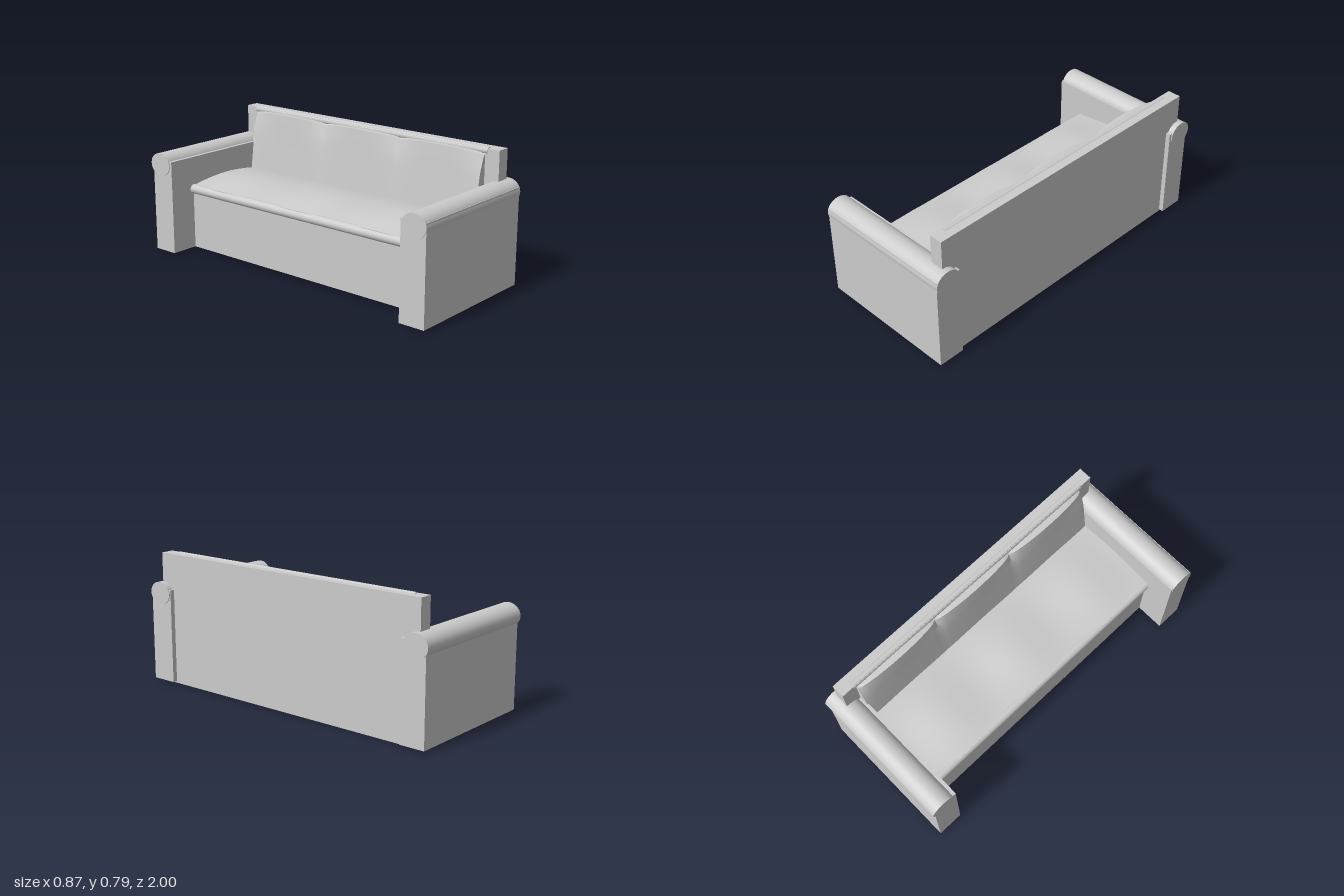
import * as THREE from 'three';
import { toCreasedNormals } from 'three/addons/utils/BufferGeometryUtils.js';

const material = new THREE.MeshStandardMaterial({ color: 0xcccccc, side: THREE.DoubleSide });

function add(group, name, geometry, x = 0, y = 0, z = 0) {
  const mesh = new THREE.Mesh(geometry, material);
  mesh.name = name;
  mesh.position.set(x, y, z);
  group.add(mesh);
  return mesh;
}

// Box given by its two opposite corners
function addBox(group, name, [x0, y0, z0], [x1, y1, z1]) {
  return add(group, name, new THREE.BoxGeometry(x1 - x0, y1 - y0, z1 - z0),
    (x0 + x1) / 2, (y0 + y1) / 2, (z0 + z1) / 2);
}

// Closed counter-clockwise (x, y) sections joined along z, capped at both ends
function loft(section, z0, z1, steps) {
  const positions = [], indices = [];
  const n = section(z0).length;
  for (let i = 0; i <= steps; i++) {
    const z = z0 + (z1 - z0) * i / steps;
    for (const [x, y] of section(z)) positions.push(x, y, z);
  }
  for (let i = 0; i < steps; i++) {
    for (let j = 0; j < n; j++) {
      const a = i * n + j, b = i * n + (j + 1) % n;
      indices.push(a, b, b + n, a, b + n, a + n);
    }
  }
  const capFaces = (z) => THREE.ShapeUtils.triangulateShape(
    section(z).map(([x, y]) => new THREE.Vector2(x, y)), []);
  for (const [a, b, c] of capFaces(z0)) indices.push(a, c, b);
  const end = steps * n;
  for (const [a, b, c] of capFaces(z1)) indices.push(end + a, end + b, end + c);
  const geometry = new THREE.BufferGeometry();
  geometry.setAttribute('position', new THREE.Float32BufferAttribute(positions, 3));
  geometry.setIndex(indices);
  return toCreasedNormals(geometry, 0.6);
}

// 0 at the seams between the three cushions, 1 at their middles
const puff = (z) => Math.sqrt(Math.abs(Math.sin(Math.PI * (z + 0.84) / 0.56)));

// Seat cushion: crowned on top, slightly wavy along its length
function seatSection(z) {
  const wave = Math.sin(Math.PI * (z + 0.84) / 0.56) ** 2;
  const points = [[-0.26, 0.355 - 0.01 * wave], [0.32, 0.355 - 0.01 * wave]];
  const steps = 14;
  for (let i = 0; i <= steps; i++) {
    const u = i / steps;
    points.push([0.32 - 0.59 * u, 0.395 + (0.03 + 0.015 * wave) * Math.sin(Math.PI * u) + 0.008 * wave * u]);
  }
  return points;
}

// Back cushions: lean back, bulging between the seams
const seamLine = new THREE.SplineCurve([[0.24, 0.39], [0.27, 0.61], [0.29, 0.69], [0.312, 0.745]]
  .map(([x, y]) => new THREE.Vector2(x, y)));
const middleLine = new THREE.SplineCurve([[0.238, 0.39], [0.261, 0.61], [0.268, 0.69], [0.276, 0.768]]
  .map(([x, y]) => new THREE.Vector2(x, y)));
function backSection(z) {
  const k = puff(z);
  const points = [[0.325, 0.39], [0.325, 0.755 + 0.012 * k]];
  const steps = 10;
  for (let i = steps; i >= 0; i--) {
    const p = seamLine.getPoint(i / steps).lerp(middleLine.getPoint(i / steps), k);
    points.push([p.x, p.y]);
  }
  return points;
}

// Horizontal roll along z
function addRoll(group, name, x, y, radius, length) {
  const roll = add(group, name, new THREE.CylinderGeometry(radius, radius, length, 24), x, y, 0);
  roll.rotation.x = Math.PI / 2;
}

export function createModel() {
  const sofa = new THREE.Group();
  sofa.name = 'sofa';

  // Frame, open underneath
  addBox(sofa, 'backPanel', [0.32, 0, -0.93], [0.40, 0.782, 0.93]);
  addBox(sofa, 'frontPanel', [-0.26, 0.01, -0.84], [-0.19, 0.37, 0.85]);

  // Arms with rolled tops
  addBox(sofa, 'leftArm', [-0.43, 0.01, 0.84], [0.428, 0.57, 0.997]);
  addBox(sofa, 'rightArm', [-0.43, 0.01, -0.985], [0.428, 0.57, -0.832]);
  for (const side of [1, -1]) {
    const roll = add(sofa, side > 0 ? 'leftArmRoll' : 'rightArmRoll',
      new THREE.CylinderGeometry(0.077, 0.077, 0.868, 32), 0, 0.543, side * 0.923);
    roll.rotation.z = Math.PI / 2;
    roll.scale.x = 0.88;
  }

  // Cushions and piping
  add(sofa, 'seatCushion', loft(seatSection, -0.84, 0.84, 48));
  add(sofa, 'backCushions', loft(backSection, -0.84, 0.84, 60));
  addRoll(sofa, 'seatFrontRoll', -0.257, 0.375, 0.028, 1.67);
  addRoll(sofa, 'backTopRoll', 0.336, 0.767, 0.021, 1.71);

  return sofa;
}
